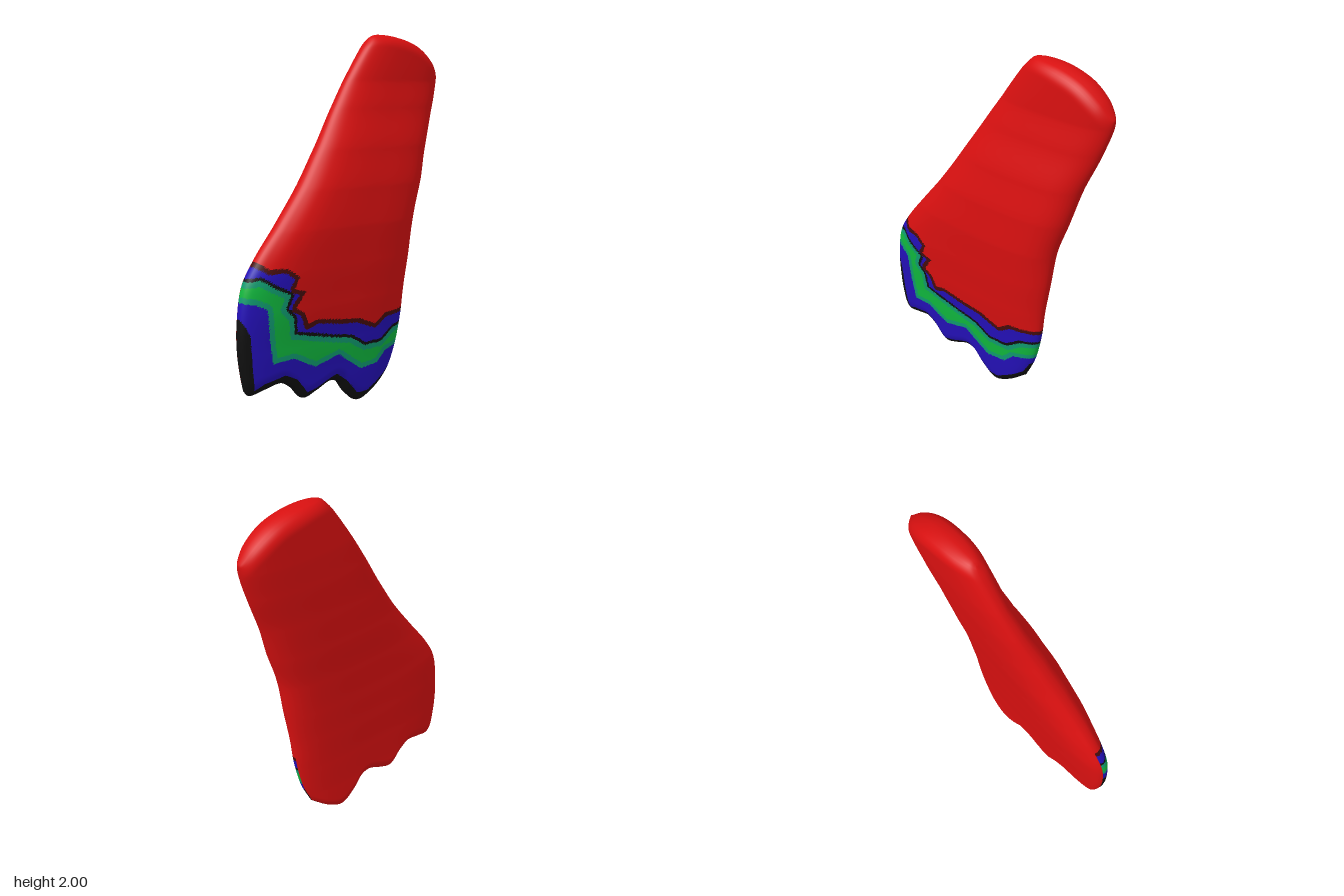
import * as THREE from 'three';
import { mergeVertices } from 'three/addons/utils/BufferGeometryUtils.js';

const mat = (name, color) => Object.assign(new THREE.MeshStandardMaterial({ color }), { name });
const spline = (pts) => new THREE.CatmullRomCurve3(pts.map(([x, y]) => new THREE.Vector3(x, y, 0)));

// Outline of the limb: two long edges, the scalloped toes and the rounded top
const leftEdge = spline([[-0.67, 0.2], [-0.7, 0.4], [-0.7, 0.56], [-0.67, 0.74], [-0.6, 0.86], [-0.465, 1.03],
  [-0.33, 1.2], [-0.2, 1.39], [0, 1.7], [0.16, 1.93], [0.21, 1.985]]);
const rightEdge = spline([[0.27, 0.13], [0.33, 0.27], [0.37, 0.45], [0.385, 0.6], [0.415, 0.8], [0.445, 1.01],
  [0.505, 1.2], [0.56, 1.39], [0.63, 1.57], [0.68, 1.72], [0.695, 1.8]]);
const toeEdge = spline([[-0.67, 0.2], [-0.64, 0.17], [-0.55, 0.185], [-0.45, 0.2], [-0.38, 0.16], [-0.31, 0.09],
  [-0.24, 0.11], [-0.14, 0.15], [-0.08, 0.135], [-0.02, 0.06], [0.06, 0], [0.15, 0.035], [0.27, 0.13]]);
const topEdge = spline([[0.21, 1.985], [0.24, 1.998], [0.32, 2], [0.43, 1.985], [0.54, 1.945], [0.63, 1.88], [0.695, 1.8]]);

// Front and back depth by height
const depth = spline([[0, 0], [1, 1]]) && [
  [0, 0.07, -0.05], [0.2, 0.085, -0.052], [0.4, 0.1, -0.06], [0.6, 0.12, -0.072], [0.8, 0.135, -0.083],
  [1, 0.145, -0.095], [1.2, 0.135, -0.11], [1.4, 0.105, -0.122], [1.6, 0.06, -0.134], [1.75, 0.035, -0.14], [2, 0.03, -0.142]];
function depthAt(y) {
  let i = 0;
  while (i < depth.length - 2 && y > depth[i + 1][0]) i++;
  const k = THREE.MathUtils.smoothstep(y, depth[i][0], depth[i + 1][0]) * 0.3
    + THREE.MathUtils.clamp((y - depth[i][0]) / (depth[i + 1][0] - depth[i][0]), 0, 1) * 0.7;
  return [1, 2].map((c) => THREE.MathUtils.lerp(depth[i][c], depth[i + 1][c], k));
}

// Painted band boundaries, left to right, lowest first
const blackTop = [[-1, 0.58], [-0.7, 0.58], [-0.655, 0.5], [-0.64, 0.3], [-0.625, 0.2], [-0.57, 0.23], [-0.45, 0.255],
  [-0.38, 0.22], [-0.31, 0.135], [-0.24, 0.15], [-0.12, 0.2], [-0.05, 0.15], [0.03, 0.06], [0.1, 0.06], [0.2, 0.12],
  [0.27, 0.17], [0.31, 0.24], [1, 0.26]];
const greenBottom = [[-1, 0.66], [-0.69, 0.66], [-0.63, 0.65], [-0.57, 0.62], [-0.55, 0.44], [-0.53, 0.33], [-0.41, 0.34],
  [-0.27, 0.27], [-0.12, 0.31], [0.04, 0.2], [0.16, 0.21], [0.22, 0.27], [0.34, 0.29], [1, 0.29]];
const greenTop = [[-1, 0.76], [-0.67, 0.76], [-0.6, 0.77], [-0.52, 0.72], [-0.44, 0.68], [-0.47, 0.61], [-0.42, 0.56],
  [-0.41, 0.47], [-0.28, 0.44], [-0.15, 0.41], [-0.04, 0.39], [0.06, 0.33], [0.18, 0.33], [0.27, 0.39], [0.355, 0.4], [1, 0.4]];
const paintTop = [[-1, 0.87], [-0.61, 0.86], [-0.55, 0.82], [-0.46, 0.82], [-0.39, 0.77], [-0.42, 0.71], [-0.35, 0.69],
  [-0.41, 0.61], [-0.36, 0.58], [-0.33, 0.51], [-0.27, 0.53], [-0.12, 0.505], [0.01, 0.49], [0.13, 0.44], [0.2, 0.49],
  [0.365, 0.495], [1, 0.495]];

// Whether a point lies under a boundary line
function under(line, x, y) {
  const poly = [...line, [1, -1], [-1, -1]];
  let inside = false;
  for (let i = 0, j = poly.length - 1; i < poly.length; j = i++) {
    const [ax, ay] = poly[i], [bx, by] = poly[j];
    if ((ay > y) !== (by > y) && x < ((bx - ax) * (y - ay)) / (by - ay) + ax) inside = !inside;
  }
  return inside;
}

// Whether a point lies within a distance of a boundary line
function near(line, x, y, limit) {
  for (let i = 1; i < line.length; i++) {
    const [ax, ay] = line[i - 1], dx = line[i][0] - ax, dy = line[i][1] - ay;
    const k = THREE.MathUtils.clamp(((x - ax) * dx + (y - ay) * dy) / (dx * dx + dy * dy), 0, 1);
    if (Math.hypot(x - ax - k * dx, y - ay - k * dy) < limit) return true;
  }
  return false;
}

const RED = 0, BLACK = 1, BLUE = 2, GREEN = 3, TEAL = 4, MAROON = 5;
function paintAt(x, y) {
  if (y > 0.9 || !under(paintTop, x, y)) return RED;
  if (under(blackTop, x, y)) return BLACK;
  if (under(greenBottom, x, y)) return BLUE;
  if (under(greenTop, x, y)) return near(greenBottom, x, y, 0.028) || near(greenTop, x, y, 0.028) ? TEAL : GREEN;
  if (near(paintTop, x, y, 0.024)) return MAROON;
  return near(greenTop, x, y, 0.016) ? BLACK : BLUE;
}

function limbGeometry(cols, rows) {
  const positions = [], buckets = Array.from({ length: 6 }, () => []);
  const across = Array.from({ length: cols + 1 }, (_, i) => {
    const s = (2 * i) / cols - 1;
    return 0.5 * s + 0.5 * Math.sin((s * Math.PI) / 2);
  });
  const along = Array.from({ length: rows + 1 }, (_, j) => {
    const s = j / rows;
    return 0.75 * s ** 1.5 + 0.25 * (1 - Math.cos(s * Math.PI)) / 2;
  });
  const toes = across.map((w) => toeEdge.getPointAt((w + 1) / 2));
  const tops = across.map((w) => topEdge.getPointAt((w + 1) / 2));
  const round = (d, r) => (d >= r ? 1 : Math.sqrt(Math.max(0, 1 - (1 - d / r) ** 2)));

  // Blend the four edges into a sheet, then inflate it to both sides
  for (const side of [0, 1]) {
    along.forEach((t) => {
      const L = leftEdge.getPointAt(t), R = rightEdge.getPointAt(t);
      across.forEach((w, i) => {
        const u = (w + 1) / 2;
        const [x, y] = ['x', 'y'].map((c) => {
          const corners = (1 - t) * ((1 - u) * toes[0][c] + u * toes[cols][c])
            + t * ((1 - u) * tops[0][c] + u * tops[cols][c]);
          return (1 - t) * toes[i][c] + t * tops[i][c] + (1 - u) * L[c] + u * R[c] - corners;
        });
        const d = depthAt(y), mid = (d[0] + d[1]) / 2;
        const power = THREE.MathUtils.lerp(3.6, 2.4, t);
        const full = Math.sqrt(Math.max(0, 1 - Math.abs(w) ** power)) * round(t, 0.045) * round(1 - t, 0.04);
        positions.push(x, y, mid + (d[side] - mid) * full);
      });
    });
  }

  // Sort the triangles into colours; paint wraps slightly over the rim
  const n = cols + 1, half = n * (rows + 1);
  const add = (a, b, c, rim) => {
    const x = (positions[3 * a] + positions[3 * b] + positions[3 * c]) / 3;
    const y = (positions[3 * a + 1] + positions[3 * b + 1] + positions[3 * c + 1]) / 3;
    buckets[rim ? paintAt(x, y) : RED].push(a, b, c);
  };
  for (let j = 0; j < rows; j++) {
    for (let i = 0; i < cols; i++) {
      const a = j * n + i, b = a + 1, c = b + n, d = a + n;
      add(a, b, c, true);
      add(a, c, d, true);
      const rim = Math.abs(across[i] + across[i + 1]) / 2 > 0.99 || along[j] < 0.004;
      add(half + a, half + c, half + b, rim);
      add(half + a, half + d, half + c, rim);
    }
  }
  let geometry = new THREE.BufferGeometry();
  geometry.setAttribute('position', new THREE.Float32BufferAttribute(positions, 3));
  geometry.setIndex(buckets.flat());
  let start = 0;
  buckets.forEach((list, m) => {
    geometry.addGroup(start, list.length, m);
    start += list.length;
  });
  geometry = mergeVertices(geometry, 1e-5);
  geometry.computeVertexNormals();
  return geometry;
}

export function createModel() {
  const materials = [mat('red', 0xd81010), mat('black', 0x101010), mat('blue', 0x2410b8),
    mat('green', 0x10b83e), mat('teal', 0x109c70), mat('maroon', 0x450c0c)];
  const limb = new THREE.Mesh(limbGeometry(130, 210), materials);
  limb.name = 'paintedLimb';
  const group = new THREE.Group();
  group.name = 'limb';
  group.add(limb);
  return group;
}
